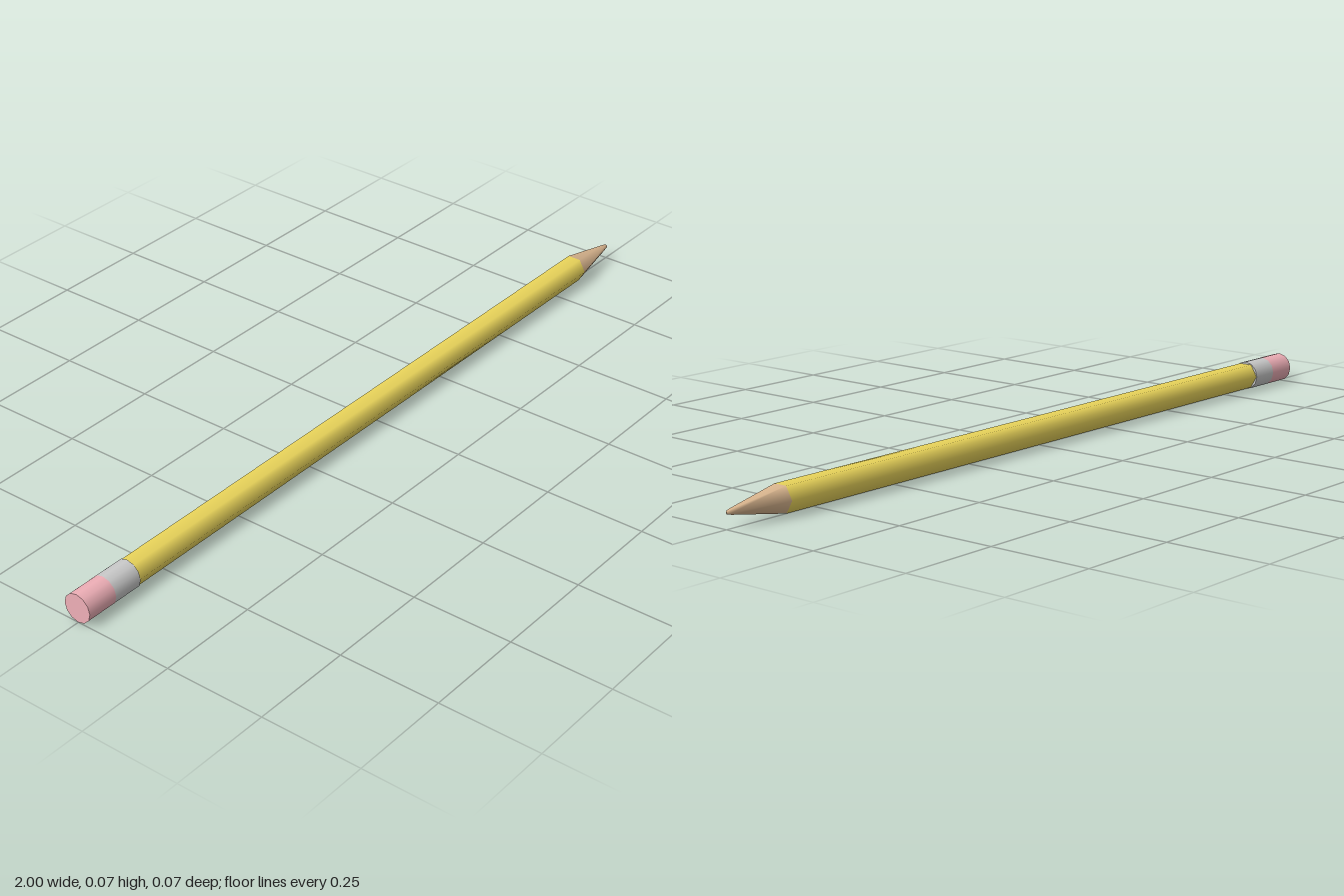
import * as THREE from 'three';

const AXIS_Y = 0.037;

// Lathed part lying along x; profile points are [radius, x]
function turned(name, profile, sides, color) {
  const points = profile.map(([r, x]) => new THREE.Vector2(r, x));
  const mesh = new THREE.Mesh(
    new THREE.LatheGeometry(points, sides),
    new THREE.MeshStandardMaterial({ color })
  );
  mesh.name = name;
  return mesh;
}

// Capped prism running from x0 to x1
function prism(name, radius, x0, x1, sides, color) {
  const geometry = new THREE.CylinderGeometry(radius, radius, x1 - x0, sides);
  geometry.translate(0, (x0 + x1) / 2, 0);
  const mesh = new THREE.Mesh(geometry, new THREE.MeshStandardMaterial({ color }));
  mesh.name = name;
  return mesh;
}

export function createModel() {
  const pencil = new THREE.Group();
  pencil.name = 'pencil';

  // Eraser and the metal band holding it
  pencil.add(prism('eraser', 0.036, -1, -0.92, 12, 0xf0b0b8));
  pencil.add(prism('ferrule', 0.036, -0.92, -0.845, 12, 0xcccccc));

  // Hexagonal painted shaft, flat side up
  pencil.add(prism('shaft', 0.0345, -0.845, 0.845, 6, 0xf2dc5e));

  // Sharpened wood with a small blunt point
  pencil.add(turned('sharpenedTip', [
    [0.0345, 0.845], [0.0075, 0.985], [0.005, 0.996], [0, 1]
  ], 6, 0xdfba92));

  // Lay the parts down so that their axis runs along x
  for (const part of pencil.children) {
    part.rotation.z = -Math.PI / 2;
    part.position.y = AXIS_Y;
  }
  return pencil;
}
